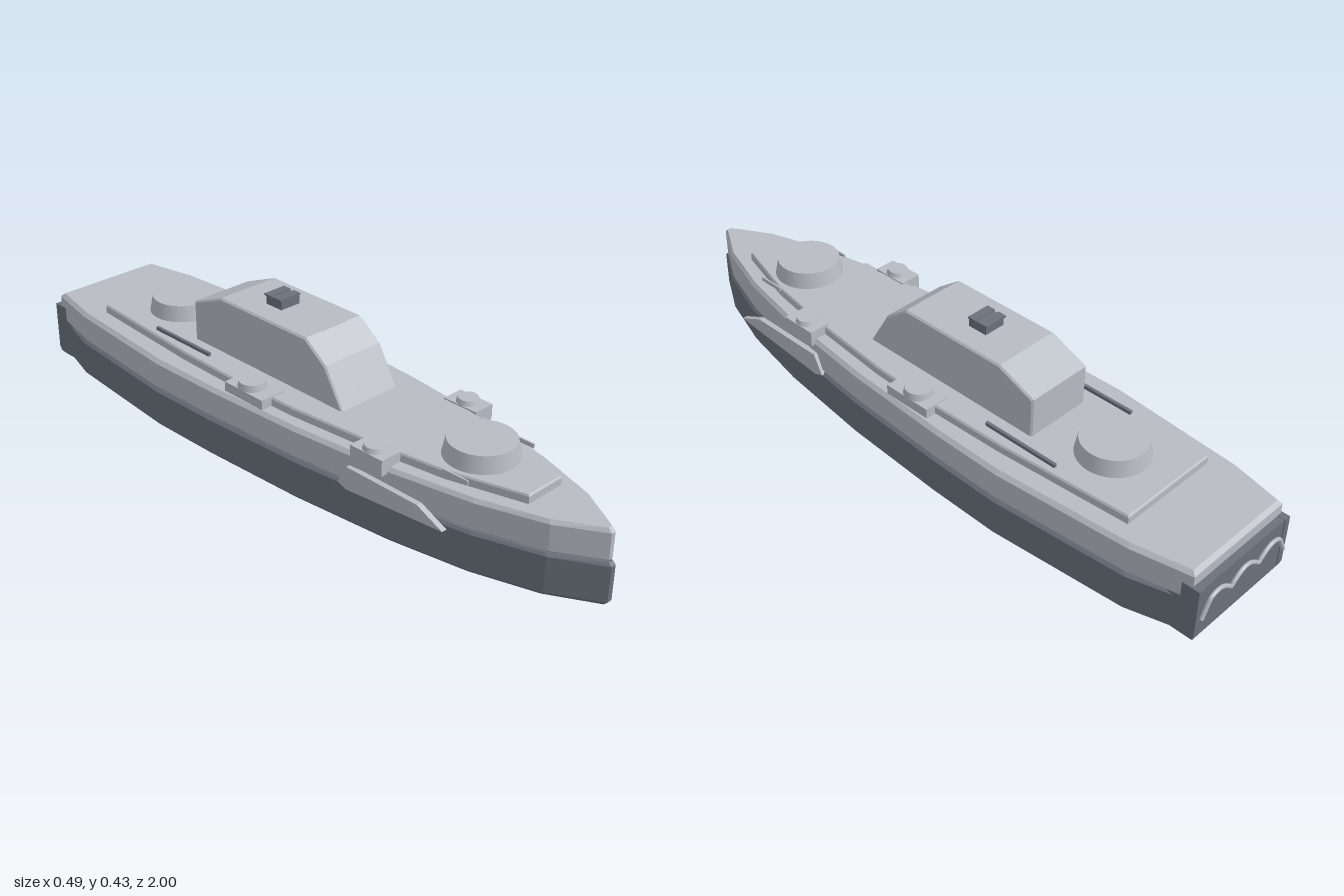
import * as THREE from 'three';

const mat = (name, color, extra = {}) =>
  Object.assign(new THREE.MeshStandardMaterial({ color, ...extra }), { name });

// Mirrors a half outline ([x, z] from bow to stern) and lofts it through [y, inset] levels.
function loft(half, levels) {
  const ring = [...half, ...half.slice().reverse().map(([x, z]) => [-x, z])];
  const n = ring.length, pos = [];
  const maxX = Math.max(...half.map(p => p[0]));
  const zs = half.map(p => p[1]);
  const zMid = (Math.max(...zs) + Math.min(...zs)) / 2;
  const zHalf = (Math.max(...zs) - Math.min(...zs)) / 2;
  const at = (l, i) => {
    const [y, inset] = levels[l], [x, z] = ring[i % n];
    return [x * (1 - inset / maxX), y, zMid + (z - zMid) * (1 - inset / zHalf)];
  };
  const tri = (...c) => c.forEach(p => pos.push(...p));
  const last = levels.length - 1;
  for (let i = 0; i < n; i++) {
    for (let l = 0; l < last; l++) {
      tri(at(l, i), at(l, i + 1), at(l + 1, i + 1));
      tri(at(l, i), at(l + 1, i + 1), at(l + 1, i));
    }
    tri([0, levels[0][0], zMid], at(0, i + 1), at(0, i));
    tri([0, levels[last][0], zMid], at(last, i), at(last, i + 1));
  }
  const g = new THREE.BufferGeometry();
  g.setAttribute('position', new THREE.Float32BufferAttribute(pos, 3));
  g.computeVertexNormals();
  return g;
}

// Extrudes a side profile of [z, y] points to a width centred on x = 0.
function sideExtrude(points, width, bevel = 0) {
  const shape = new THREE.Shape(points.map(p => new THREE.Vector2(...p)));
  const depth = width - 2 * bevel;
  const g = new THREE.ExtrudeGeometry(shape, {
    depth, bevelEnabled: bevel > 0, bevelSize: bevel, bevelThickness: bevel,
    bevelOffset: -bevel, bevelSegments: 1,
  });
  return g.translate(0, 0, -depth / 2).rotateY(-Math.PI / 2);
}

export function createModel() {
  const model = new THREE.Group();
  model.name = 'ship';
  const light = mat('lightGrey', 0xb8bcc3);
  const dark = mat('darkGrey', 0x6b717c);

  const add = (name, geo, material, x = 0, y = 0, z = 0) => {
    const m = new THREE.Mesh(geo, material);
    m.name = name;
    m.position.set(x, y, z);
    model.add(m);
    return m;
  };
  const box = (name, w, h, d, material, x, y, z) =>
    add(name, new THREE.BoxGeometry(w, h, d), material, x, y, z);

  // Hull in two stacked bands with a narrow groove between them
  const sides = [[0.085, 0.87], [0.145, 0.69], [0.19, 0.46], [0.225, 0.15],
    [0.243, -0.18], [0.247, -0.4], [0.215, -0.8]];
  add('lowerHull', loft([[0.008, 1], ...sides, [0.18, -0.92], [0.18, -0.985]],
    [[0, 0.01], [0.01, 0], [0.112, 0], [0.12, 0.009]]), dark);
  add('hullGroove', loft([[0.005, 0.97], ...sides.map(([x, z]) => [x - 0.012, z]), [0.16, -0.94]],
    [[0.115, 0], [0.13, 0]]), dark);
  add('upperHull', loft([[0.007, 0.99], ...sides.map(([x, z]) => [x - 0.005, z]), [0.175, -0.965]],
    [[0.122, 0.006], [0.127, 0], [0.2, 0], [0.211, 0.011]]), light);

  // Raised deck
  add('raisedDeck', loft([[0.062, 0.79], [0.122, 0.58], [0.155, 0.36], [0.18, 0.1],
    [0.187, -0.1], [0.182, -0.35], [0.156, -0.752]],
    [[0.2, 0], [0.231, 0], [0.236, 0.004]]), light);

  // Cabin with sloped front and back
  add('cabin', sideExtrude([[0.208, 0.23], [0.14, 0.345], [0.065, 0.4], [-0.275, 0.4],
    [-0.392, 0.352], [-0.392, 0.23]], 0.206, 0.005), light);
  const visor = new THREE.Shape([[-0.062, -0.03], [0.062, -0.03], [0.062, -0.045],
    [0.048, -0.066], [-0.048, -0.066], [-0.062, -0.045]].map(p => new THREE.Vector2(...p)).reverse());
  add('cabinVisor', new THREE.ExtrudeGeometry(visor, { depth: 0.009, bevelEnabled: false })
    .rotateX(-Math.PI / 2), light, 0, 0.391, 0);

  // Funnel block with two cap slats
  box('funnel', 0.066, 0.03, 0.06, dark, 0, 0.412, -0.132);
  for (const z of [-0.154, -0.115])
    box('funnelCap', 0.073, 0.005, 0.027, dark, 0, 0.428, z);

  // Main turrets fore and aft
  for (const z of [0.59, -0.575])
    add('mainTurret', new THREE.CylinderGeometry(0.09, 0.1, 0.05, 40), light, 0, 0.258, z);

  for (const s of [-1, 1]) {
    // Side turrets on bracket boxes
    box('midTurretBase', 0.078, 0.034, 0.15, light, s * 0.178, 0.222, -0.055);
    add('midTurret', new THREE.CylinderGeometry(0.037, 0.041, 0.02, 28), light, s * 0.179, 0.248, -0.06);
    box('foreTurretBase', 0.066, 0.045, 0.11, light, s * 0.175, 0.2175, 0.395);
    add('foreTurret', new THREE.CylinderGeometry(0.028, 0.033, 0.014, 28), light, s * 0.175, 0.246, 0.395);

    // Side fins sweeping forward from the hull
    add('sideFin', sideExtrude([[0.655, 0.135], [0.572, 0.172], [0.33, 0.172],
      [0.3, 0.115], [0.33, 0.105]], 0.016), light, s * 0.203, 0, 0);

    // Thin deck rails
    box('aftRail', 0.009, 0.012, 0.235, dark, s * 0.147, 0.24, -0.395);
    box('foreRail', 0.005, 0.012, 0.08, light, s * 0.125, 0.235, 0.615);
    box('sternPost', 0.02, 0.15, 0.1, dark, s * 0.171, 0.095, -0.938);
  }

  // Stern block with a scalloped rope
  box('sternBlock', 0.35, 0.15, 0.095, dark, 0, 0.094, -0.938);
  const rope = [];
  for (let i = 0; i <= 36; i++) {
    const t = i / 36, end = Math.max(0, Math.abs(t - 0.5) - 0.42) / 0.08;
    rope.push(new THREE.Vector3(-0.166 + 0.332 * t,
      0.105 + 0.03 * Math.abs(Math.sin(t * Math.PI * 3)) - 0.03 * end, -0.993));
  }
  add('sternRope', new THREE.TubeGeometry(new THREE.CatmullRomCurve3(rope), 72, 0.006, 6), light);

  return model;
}
